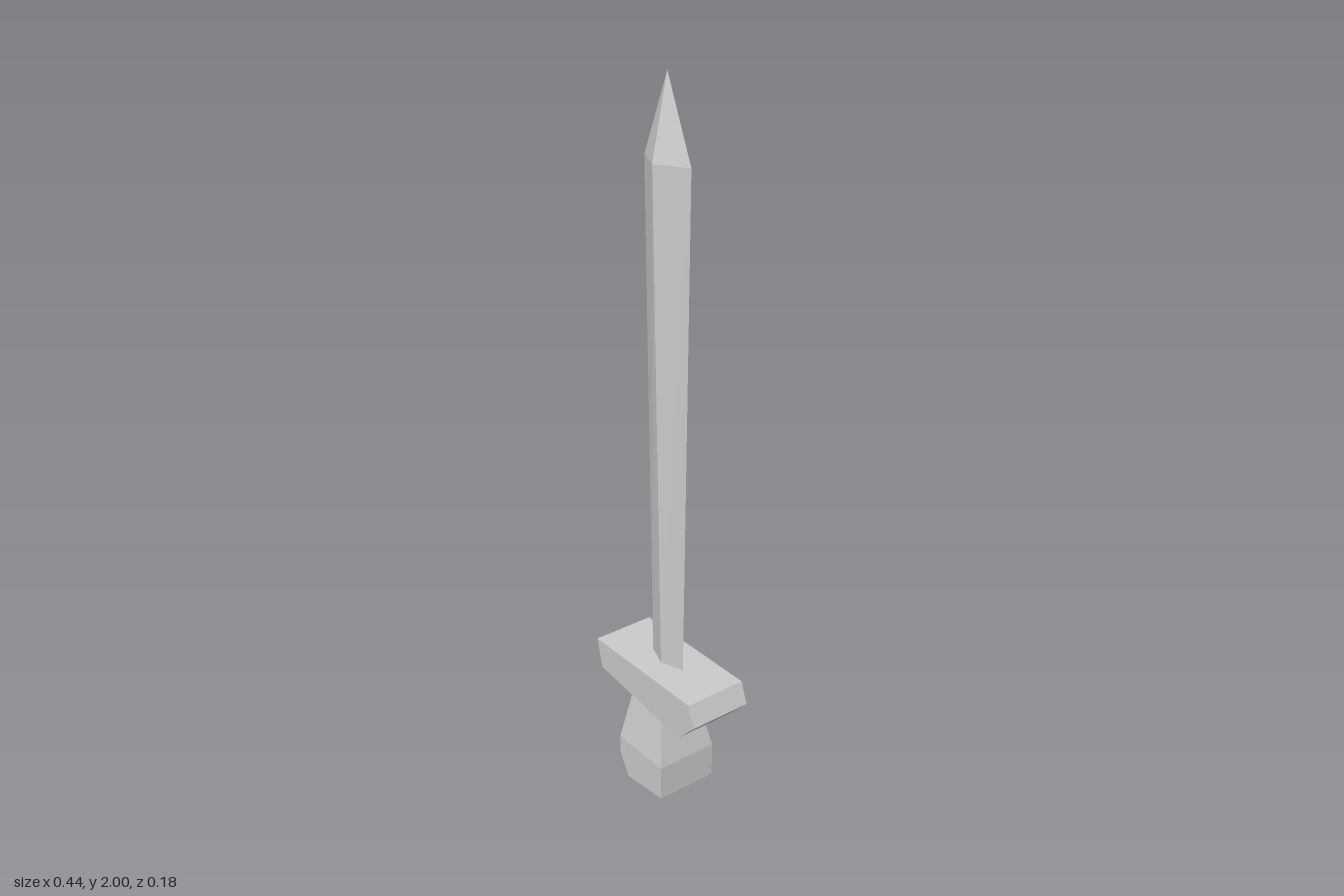
import * as THREE from 'three';

const material = () => new THREE.MeshStandardMaterial({ color: 0xcccccc, flatShading: true });

// Skins a stack of four-cornered rings, listed from bottom to top, each
// counterclockwise as seen from above; optionally closes the lowest ring.
function loft(rings, closeBottom) {
  const positions = [];
  const tri = (a, b, c) => positions.push(...a, ...b, ...c);
  for (let r = 0; r < rings.length - 1; r++) {
    for (let i = 0; i < 4; i++) {
      const j = (i + 1) % 4;
      const [low, high] = [rings[r], rings[r + 1]];
      tri(low[i], low[j], high[j]);
      tri(low[i], high[j], high[i]);
    }
  }
  if (closeBottom) {
    const [a, b, c, d] = rings[0];
    tri(a, c, b);
    tri(a, d, c);
  }
  const geometry = new THREE.BufferGeometry();
  geometry.setAttribute('position', new THREE.Float32BufferAttribute(positions, 3));
  geometry.computeVertexNormals();
  return geometry;
}

// Diamond section: half width along x, half thickness along z
const diamond = (y, w, d) => {
  const cx = -0.012;
  return [[cx, y, d], [cx + w, y, 0], [cx, y, -d], [cx - w, y, 0]];
};

// Rectangular section whose left and right ends may sit at different heights
const slab = (x0, y0, x1, y1, d) => [[x0, y0, d], [x1, y1, d], [x1, y1, -d], [x0, y0, -d]];

export function createModel() {
  const model = new THREE.Group();
  model.name = 'sword';
  const add = (name, geometry) => {
    const mesh = new THREE.Mesh(geometry, material());
    mesh.name = name;
    model.add(mesh);
    return mesh;
  };

  // Blade widens gently upward, then runs to a point
  const shoulder = diamond(1.79, 0.09, 0.045);
  add('blade', loft([diamond(0.4, 0.067, 0.024), shoulder], false));
  const tip = new THREE.Vector3(-0.012, 2, 0).toArray();
  add('bladeTip', loft([shoulder, [tip, tip, tip, tip]].map((r) => r), false));

  // Crossguard: lopsided five-sided outline, extruded front to back
  const outline = [[-0.2, 0.315], [0.15, 0.27], [0.217, 0.338], [0.195, 0.4], [-0.219, 0.4]];
  const shape = new THREE.Shape(outline.map(([x, y]) => new THREE.Vector2(x, y)));
  const guard = new THREE.ExtrudeGeometry(shape, { depth: 0.184, bevelEnabled: false });
  guard.translate(0, 0, -0.092);
  add('crossguard', guard);

  // Grip flares down into a chunky pommel, with one lower edge chamfered
  const flare = slab(-0.117, 0.12, 0.075, 0.12, 0.092);
  add('grip', loft([flare, slab(-0.085, 0.301, 0.04, 0.285, 0.061)], false));
  add('pommel', loft([
    slab(-0.08, 0, 0.075, 0.017, 0.092),
    slab(-0.117, 0.065, 0.075, 0.065, 0.092),
    flare,
  ], true));

  return model;
}
